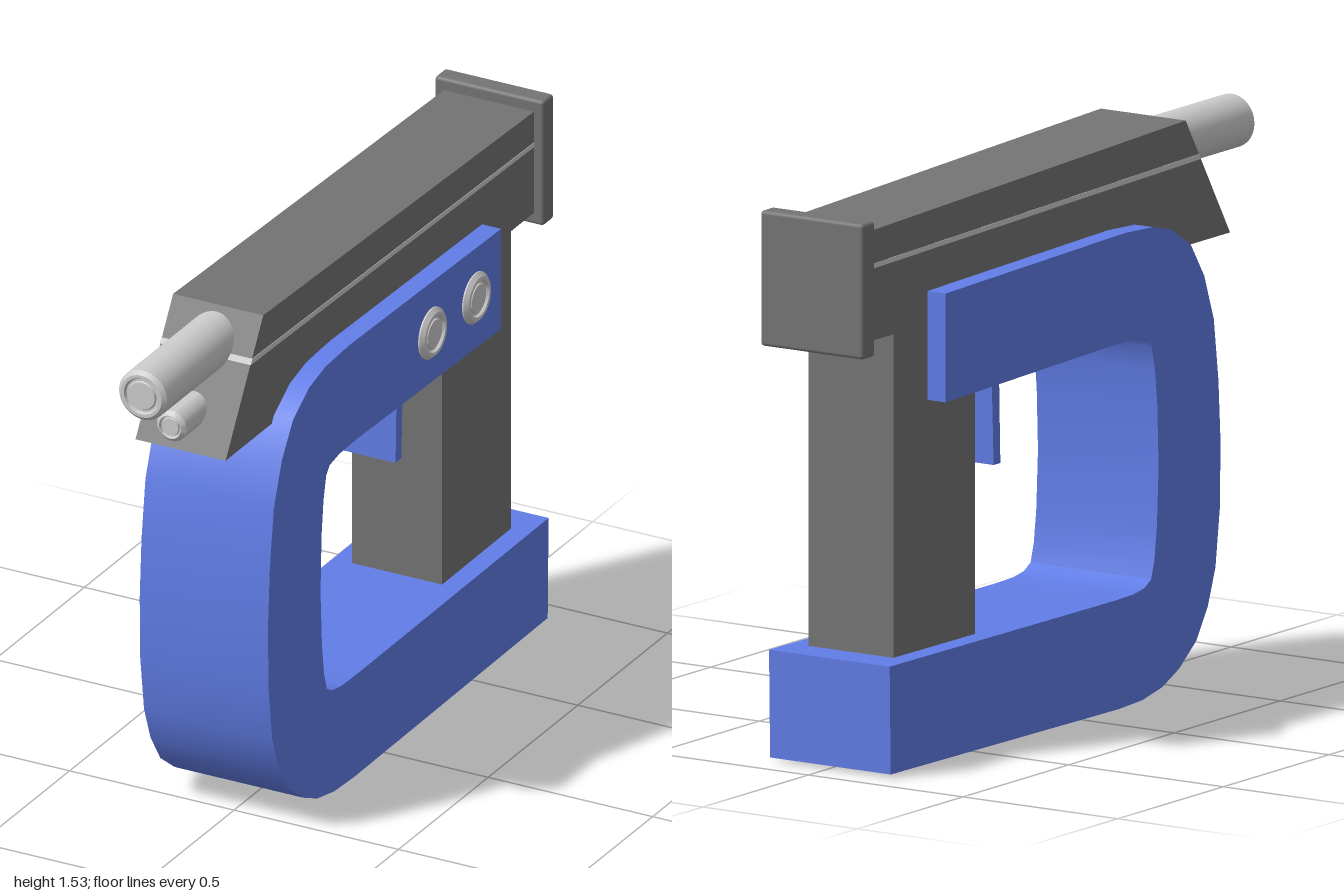
import * as THREE from 'three';
import { toCreasedNormals } from 'three/addons/utils/BufferGeometryUtils.js';
import { RoundedBoxGeometry } from 'three/addons/geometries/RoundedBoxGeometry.js';

const CX = -0.01; // centre plane of the body
const grey = new THREE.MeshStandardMaterial({ color: 0xcccccc });
const dark = new THREE.MeshStandardMaterial({ color: 0x747474 });
const blue = new THREE.MeshStandardMaterial({ color: 0x617de7 });

// Side profile of [z, y] points, extruded across x and centred on the body
function slab(points, width) {
  const shape = new THREE.Shape(points.map(([z, y]) => new THREE.Vector2(z, y)));
  const geo = new THREE.ExtrudeGeometry(shape, { depth: width, bevelEnabled: false });
  geo.rotateY(-Math.PI / 2).translate(CX + width / 2, 0, 0);
  return toCreasedNormals(geo, 0.6);
}

// Round rod along y with a chamfered rim and a shallow stepped recess in its end
function rod(radius, length, chamfer) {
  const profile = [
    [0, 0], [radius, 0], [radius, length - chamfer], [radius - chamfer, length],
    [radius * 0.72, length], [radius * 0.66, length - 0.008],
    [radius * 0.58, length - 0.008], [radius * 0.54, length - 0.003], [0, length - 0.003],
  ].map(([r, y]) => new THREE.Vector2(r, y));
  return toCreasedNormals(new THREE.LatheGeometry(profile, 32), 0.5);
}

export function createModel() {
  const model = new THREE.Group();
  const add = (name, geometry, material) => {
    const mesh = new THREE.Mesh(geometry, material);
    mesh.name = name;
    model.add(mesh);
    return mesh;
  };

  // C-shaped frame: outer outline from arm to base, then back along the inside
  add('frame', slab([
    [-0.65, 1.28], [0.2, 1.297], [0.33, 1.29], [0.42, 1.267], [0.51, 1.21],
    [0.573, 1.115], [0.618, 0.99], [0.64, 0.82], [0.65, 0.65], [0.647, 0.47],
    [0.626, 0.31], [0.59, 0.21], [0.535, 0.125], [0.455, 0.064], [0.375, 0.027],
    [0.28, 0.008], [0.17, 0.003], [-0.91, 0.013], [-0.915, 0.308],
    [0.15, 0.302], [0.24, 0.304], [0.29, 0.312], [0.322, 0.33], [0.337, 0.38],
    [0.349, 0.47], [0.357, 0.63], [0.351, 0.8], [0.34, 0.9], [0.325, 0.965],
    [0.305, 0.988], [0.25, 0.998], [0.15, 1.0], [-0.65, 0.983],
  ], 0.39), blue);

  // Slide with a slanted nose, and the bright seam along both flanks
  add('slide', slab([
    [0.57, 1.532], [-0.95, 1.49], [-0.95, 1.19], [0.78, 1.19],
  ], 0.274), dark);
  add('slideSeam', slab([
    [0.633, 1.43], [-0.94, 1.399], [-0.94, 1.386], [0.642, 1.415],
  ], 0.277), grey);

  // Grip post between slide and base
  const post = add('gripPost', new THREE.BoxGeometry(0.274, 0.92, 0.385), dark);
  post.position.set(CX, 0.75, -0.62);

  // End cap
  const cap = add('endCap', new RoundedBoxGeometry(0.332, 0.37, 0.06, 2, 0.01), dark);
  cap.position.set(CX, 1.34, -0.97);

  // Trigger
  add('trigger', slab([
    [-0.252, 1.05], [-0.284, 1.05], [-0.284, 0.92], [-0.277, 0.735],
    [-0.245, 0.735], [-0.25, 0.92],
  ], 0.19), blue);

  // Barrel and the guide rod below it
  for (const [name, radius, y, start, end] of [
    ['barrel', 0.073, 1.443, 0.5, 1], ['guideRod', 0.045, 1.283, 0.55, 0.84],
  ]) {
    const mesh = add(name, rod(radius, end - start, 0.011), grey);
    mesh.rotation.x = Math.PI / 2;
    mesh.position.set(CX, y, start);
  }

  // Two bolts on one side of the arm
  for (const z of [-0.26, -0.505]) {
    const bolt = add('bolt', rod(0.073, 0.04, 0.011), grey);
    bolt.rotation.z = -Math.PI / 2;
    bolt.position.set(0.16, 1.138, z);
  }

  return model;
}
